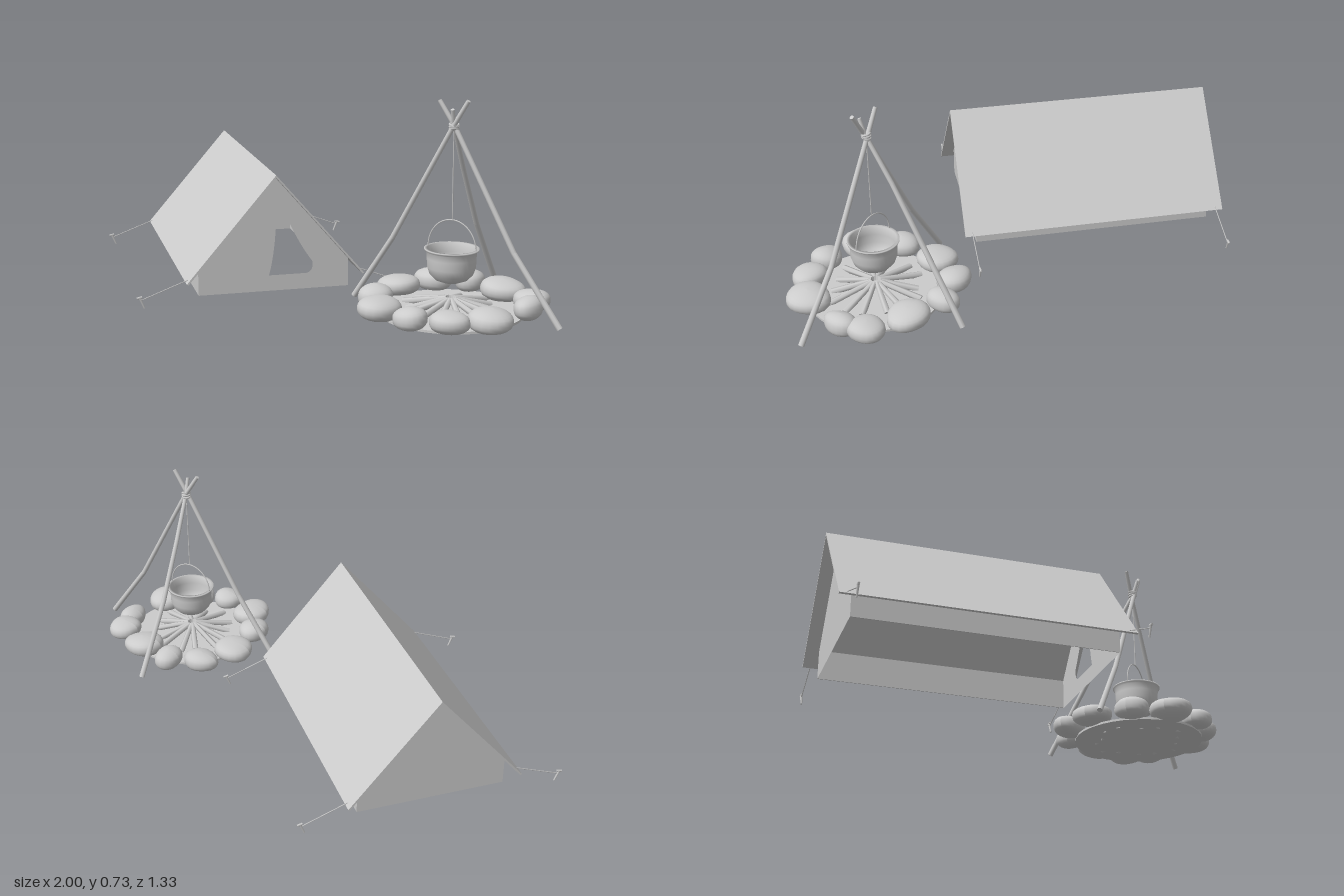
import * as THREE from 'three';

const mat = new THREE.MeshStandardMaterial({ color: 0xcccccc, side: THREE.DoubleSide });
const v = (x, y, z) => new THREE.Vector3(x, y, z);

function add(parent, name, geometry) {
  const mesh = new THREE.Mesh(geometry, mat);
  mesh.name = name;
  parent.add(mesh);
  return mesh;
}

// straight rod between two points
function rod(parent, name, a, b, r0, r1 = r0, sides = 8) {
  const dir = b.clone().sub(a);
  const mesh = add(parent, name, new THREE.CylinderGeometry(r1, r0, dir.length(), sides));
  mesh.position.copy(a).add(b).multiplyScalar(0.5);
  mesh.quaternion.setFromUnitVectors(v(0, 1, 0), dir.normalize());
  return mesh;
}

const shapeOf = pts => new THREE.Shape(pts.map(p => new THREE.Vector2(p[0], p[1])));

// ridge tent, built along local z
function makeTent() {
  const tent = new THREE.Group();
  tent.name = 'tent';
  const ridge = 0.44, eaveX = 0.311, eaveY = 0.08, roofL = 0.974;
  const w = 0.263, l = 0.441, base = 0.025, shoulder = 0.131;

  const t = 0.006;
  const roof = shapeOf([[-eaveX, eaveY], [0, ridge], [eaveX, eaveY],
    [eaveX - t, eaveY - t / 2], [0, ridge - 1.5 * t], [-eaveX + t, eaveY - t / 2]].reverse());
  add(tent, 'roof', new THREE.ExtrudeGeometry(roof, { depth: roofL, bevelEnabled: false }))
    .position.z = -roofL / 2;

  const gable = () => shapeOf([[-w, base], [w, base], [w, shoulder], [0, ridge - 0.006], [-w, shoulder]]);
  add(tent, 'backWall', new THREE.ShapeGeometry(gable())).position.z = -l;

  // front wall with one half of the doorway pulled open
  const front = gable();
  const door = new THREE.Path();
  door.moveTo(0.01, 0.37);
  door.quadraticCurveTo(0.012, 0.19, -0.018, 0.08);
  door.lineTo(0.115, 0.08);
  door.quadraticCurveTo(0.14, 0.085, 0.137, 0.12);
  door.quadraticCurveTo(0.07, 0.21, 0.01, 0.37);
  front.holes.push(door);
  add(tent, 'frontWall', new THREE.ShapeGeometry(front)).position.z = l;

  for (const sx of [-1, 1]) {
    add(tent, 'sideWall', new THREE.BoxGeometry(0.003, shoulder - base, 2 * l))
      .position.set(sx * w, (shoulder + base) / 2, 0);
    // guy lines and pegs
    for (const sz of [-1, 1]) {
      const z = sz * 0.46;
      rod(tent, 'guyLine', v(sx * 0.3, 0.09, z), v(sx * 0.463, 0.029, z), 0.0018, 0.0018, 5);
      rod(tent, 'peg', v(sx * 0.452, 0.001, z), v(sx * 0.468, 0.04, z), 0.003, 0.0045, 6);
      rod(tent, 'pegHead', v(sx * 0.459, 0.04, z), v(sx * 0.477, 0.036, z), 0.004, 0.004, 6);
    }
  }
  tent.position.set(-0.34, 0, 0.005);
  tent.rotation.y = 0.803;
  return tent;
}

// flattened, slightly irregular pebble
function stoneGeometry(rx, rz, seed) {
  const g = new THREE.SphereGeometry(1, 20, 14);
  const p = g.attributes.position;
  for (let i = 0; i < p.count; i++) {
    const x = p.getX(i), y = p.getY(i), z = p.getZ(i);
    const k = 1 + 0.06 * Math.sin(2.3 * x + seed) + 0.05 * Math.cos(2.7 * z + 2 * seed + y);
    p.setXYZ(i, x * k * rx, Math.sign(y) * Math.pow(Math.abs(y), 0.8) * 0.037 * k, z * k * rz);
  }
  g.computeVertexNormals();
  return g;
}

// campfire, built around its own centre
function makeCampfire() {
  const fire = new THREE.Group();
  fire.name = 'campfire';
  add(fire, 'ashBed', new THREE.CylinderGeometry(0.24, 0.24, 0.008, 40)).position.y = 0.029;

  // stone ring: x, z, half width, half depth
  const stones = [
    [-0.175, -0.21, 0.066, 0.06], [-0.05, -0.255, 0.053, 0.056], [0.093, -0.213, 0.075, 0.075],
    [0.222, -0.15, 0.06, 0.066], [0.245, -0.055, 0.045, 0.062], [0.205, 0.125, 0.075, 0.076],
    [0.103, 0.218, 0.064, 0.06], [-0.023, 0.242, 0.054, 0.058], [-0.163, 0.198, 0.075, 0.074],
    [-0.235, 0.075, 0.056, 0.066], [-0.238, -0.08, 0.072, 0.075]];
  stones.forEach(([x, z, rx, rz], i) => {
    const s = add(fire, 'stone', stoneGeometry(rx, rz, i * 1.7));
    s.position.set(x, 0.063, z);
    s.rotation.z = 0.08 * Math.sin(i * 2.1);
  });

  // firewood laid like spokes
  for (let i = 0; i < 14; i++) {
    const a = i / 14 * Math.PI * 2 + 0.12 * Math.sin(i * 3.1);
    const r = 0.165 + 0.02 * Math.sin(i * 1.9);
    rod(fire, 'firewood', v(Math.cos(a) * r, 0.032, Math.sin(a) * r),
      v(Math.cos(a) * 0.015, 0.07, Math.sin(a) * 0.015), 0.012, 0.009, 6);
  }

  // tripod of slightly crooked poles
  const poles = [
    [[-0.363, 0.028, 0.004], [-0.215, 0.25, 0.008], [0, 0.64, 0.008], [0.053, 0.727, 0.008]],
    [[0.38, 0.028, 0], [0.215, 0.25, -0.006], [0, 0.64, -0.006], [-0.053, 0.722, 0]],
    [[-0.003, 0.026, -0.372], [-0.012, 0.28, -0.21], [-0.008, 0.485, -0.092], [0.002, 0.64, 0.002], [0.004, 0.698, 0.022]]];
  for (const pts of poles) {
    for (let i = 1; i < pts.length; i++) {
      rod(fire, 'tripodPole', v(...pts[i - 1]), v(...pts[i]), 0.0115 - 0.001 * i, 0.0105 - 0.001 * i);
      if (i < pts.length - 1)
        add(fire, 'poleKnot', new THREE.SphereGeometry(0.0105 - 0.001 * i, 8, 6)).position.set(...pts[i]);
    }
  }
  for (let i = 0; i < 3; i++) {
    const wrap = add(fire, 'lashing', new THREE.TorusGeometry(0.014, 0.004, 6, 14));
    wrap.position.y = 0.633 + i * 0.007;
    wrap.rotation.set(Math.PI / 2 + 0.2 * (i - 1), 0.15 * (1 - i), 0);
  }

  // hanging pot
  rod(fire, 'hangingCord', v(0, 0.64, 0), v(0, 0.335, 0), 0.002, 0.002, 5);
  const handle = add(fire, 'potHandle', new THREE.TorusGeometry(0.086, 0.0022, 6, 32, Math.PI));
  handle.position.y = 0.24;
  handle.scale.y = 1.1;
  const outline = [[0, 0.126], [0.03, 0.128], [0.055, 0.138], [0.072, 0.156], [0.08, 0.18], [0.081, 0.21],
    [0.083, 0.231], [0.09, 0.236], [0.09, 0.241], [0.08, 0.241], [0.076, 0.21], [0.075, 0.18],
    [0.066, 0.158], [0.05, 0.144], [0.03, 0.135], [0, 0.133]];
  add(fire, 'pot', new THREE.LatheGeometry(outline.map(p => new THREE.Vector2(p[0], p[1])), 36));

  fire.position.set(0.61, 0, 0.22);
  return fire;
}

export function createModel() {
  const model = new THREE.Group();
  model.name = 'campsite';
  model.add(makeTent(), makeCampfire());
  return model;
}
